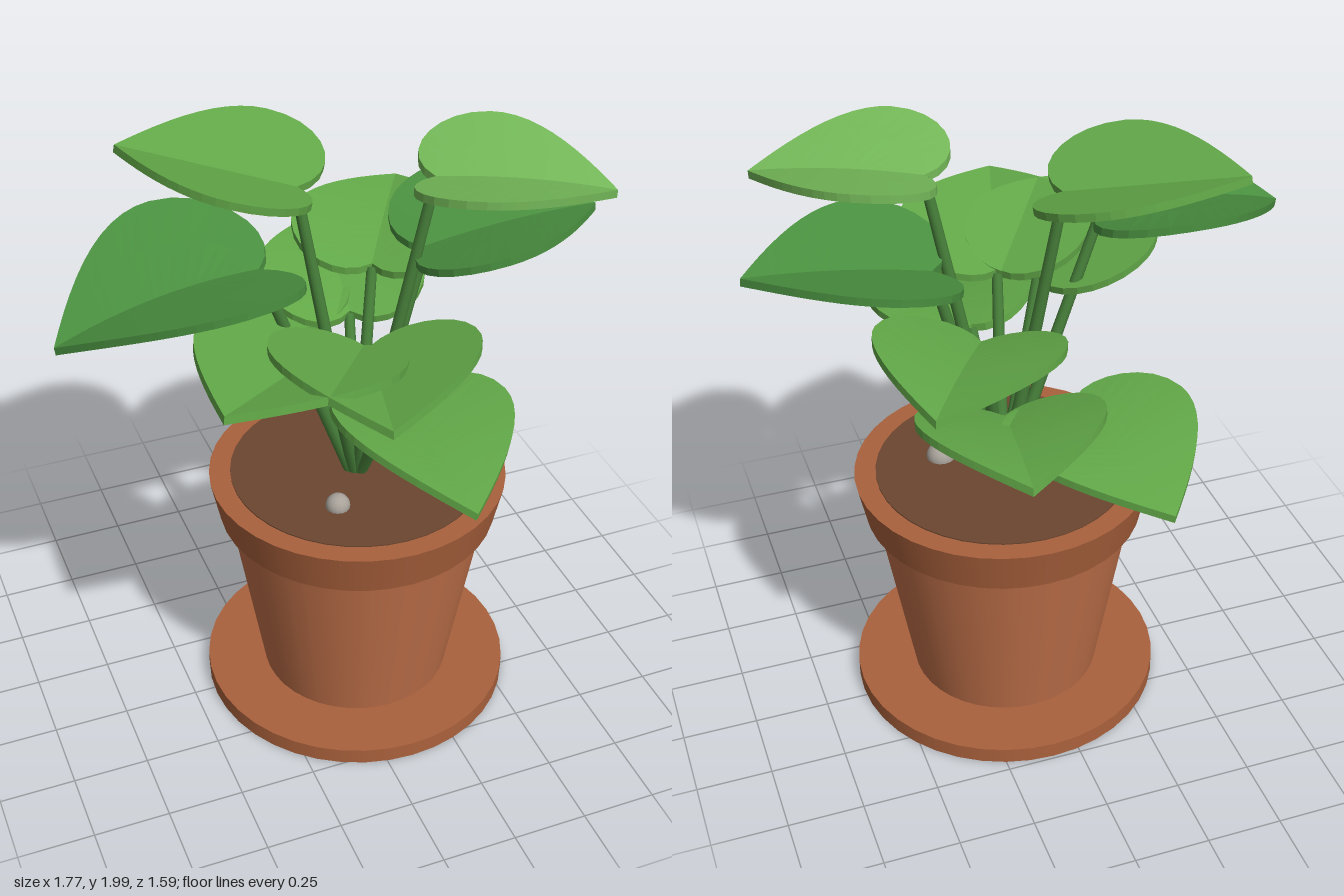
import * as THREE from 'three';

const mat = (color, extra = {}) => new THREE.MeshStandardMaterial({ color, ...extra });
const V = (a) => new THREE.Vector3(...a);
const CX = 0.09, CZ = 0.03; // pot axis

// Half outline of a heart-shaped leaf, unit length: stalk notch -> lobe -> tip
const lobe = new THREE.CubicBezierCurve(
  new THREE.Vector2(0, 0), new THREE.Vector2(-0.24, 0.2),
  new THREE.Vector2(-0.06, 0.55), new THREE.Vector2(0.28, 0.55));
const side = new THREE.CubicBezierCurve(
  new THREE.Vector2(0.28, 0.55), new THREE.Vector2(0.55, 0.55),
  new THREE.Vector2(0.8, 0.26), new THREE.Vector2(1, 0));
const outline = (t) => (t < 0.45 ? lobe.getPoint(t / 0.45) : side.getPoint((t - 0.45) / 0.55));

// A thin slab reshaped into a leaf: folded up along the midrib, arched along its length
function leafGeometry(length, thickness, lift, arch) {
  const geo = new THREE.BoxGeometry(1, thickness, 2, 20, 1, 4);
  const pos = geo.attributes.position;
  for (let i = 0; i < pos.count; i++) {
    const t = pos.getX(i) + 0.5, s = pos.getZ(i);
    const p = outline(t), a = Math.abs(s);
    const u = THREE.MathUtils.lerp(t, p.x, a), v = p.y * s;
    const y = pos.getY(i) + lift * Math.abs(v) * length + arch * 4 * u * (1 - u);
    pos.setXYZ(i, u * length, y, v * length);
  }
  geo.computeVertexNormals();
  return geo;
}

// Leaf placed from its stalk joint towards its tip
function makeLeaf({ base, tip, color, lift = 0.3, arch = 0.015, roll = 0 }) {
  const from = V(base), along = V(tip).sub(from);
  const length = along.length();
  const x = along.normalize();
  const z = new THREE.Vector3().crossVectors(x, new THREE.Vector3(0, 1, 0)).normalize();
  const y = new THREE.Vector3().crossVectors(z, x);
  const leaf = new THREE.Mesh(leafGeometry(length, 0.026, lift, arch), mat(color, { flatShading: true }));
  leaf.name = 'leaf';
  leaf.quaternion.setFromRotationMatrix(new THREE.Matrix4().makeBasis(x, y, z));
  leaf.rotateX(roll);
  leaf.position.copy(from);
  return leaf;
}

// Straight tapering stalk from the soil to a leaf
function makeStem(end, material) {
  const b = V(end), a = new THREE.Vector3(CX, 0.84, CZ);
  a.x += (b.x - CX) * 0.06;
  a.z += (b.z - CZ) * 0.06;
  const dir = b.clone().sub(a);
  const stem = new THREE.Mesh(new THREE.CylinderGeometry(0.017, 0.023, dir.length(), 10), material);
  stem.name = 'stem';
  stem.position.copy(a).addScaledVector(dir, 0.5);
  stem.quaternion.setFromUnitVectors(new THREE.Vector3(0, 1, 0), dir.normalize());
  return stem;
}

export function createModel() {
  const model = new THREE.Group();
  model.name = 'pottedPlant';
  const add = (name, geo, material, x, y, z) => {
    const mesh = new THREE.Mesh(geo, material);
    mesh.name = name;
    mesh.position.set(x, y, z);
    model.add(mesh);
  };

  // Pot
  const clay = mat(0xbf7049), darkClay = mat(0xaa613c);
  add('saucer', new THREE.CylinderGeometry(0.52, 0.52, 0.055, 40), darkClay, CX, 0.0275, CZ);
  add('potBody', new THREE.CylinderGeometry(0.43, 0.32, 0.65, 40), clay, CX, 0.38, CZ);
  add('potRim', new THREE.CylinderGeometry(0.49, 0.46, 0.145, 40), darkClay, CX, 0.7775, CZ);
  add('soil', new THREE.CylinderGeometry(0.42, 0.42, 0.04, 40), mat(0x6b4630), CX, 0.834, CZ);

  // Pebbles on the soil
  const stone = mat(0xa8a29a);
  add('pebble', new THREE.SphereGeometry(0.04, 16, 12), stone, -0.05, 0.86, 0.21);
  add('pebble', new THREE.SphereGeometry(0.048, 16, 12), stone, 0.27, 0.857, 0.14);

  // Leaves, from the top tier down
  const light = 0x74b858, mid = 0x62a848, dark = 0x4a9040;
  const leaves = [
    { base: [0.30, 1.90, 0.10], tip: [0.78, 1.88, 0.34], color: light, lift: 0.24 },
    { base: [-0.08, 1.86, -0.06], tip: [-0.56, 1.96, -0.33], color: mid, lift: 0.24, arch: 0 },
    { base: [-0.25, 1.69, 0.08], tip: [-0.89, 1.60, 0.14], color: dark, lift: 0.28, arch: 0.035 },
    { base: [0.31, 1.62, 0.02], tip: [0.88, 1.68, 0.06], color: dark, lift: 0.24 },
    { base: [0.03, 1.45, 0.25], tip: [-0.12, 1.54, 0.79], color: mid, lift: 0.3, arch: 0 },
    { base: [-0.09, 1.44, 0.20], tip: [-0.53, 1.55, 0.57], color: mid, lift: 0.24, arch: 0 },
    { base: [0.22, 1.47, -0.18], tip: [0.49, 1.53, -0.62], color: mid, lift: 0.24 },
    { base: [0.18, 1.25, -0.27], tip: [0.26, 1.35, -0.77], color: mid, lift: 0.22 },
    { base: [-0.03, 1.23, -0.27], tip: [-0.16, 1.17, -0.80], color: mid, lift: 0.2, arch: 0.025 },
    { base: [0.11, 1.24, 0.28], tip: [0.15, 1.18, 0.79], color: mid, lift: 0.35, arch: 0.02, roll: -0.09 },
  ];
  const green = mat(0x47803a);
  for (const leaf of leaves) {
    model.add(makeLeaf(leaf), makeStem(leaf.base, green));
  }
  return model;
}
